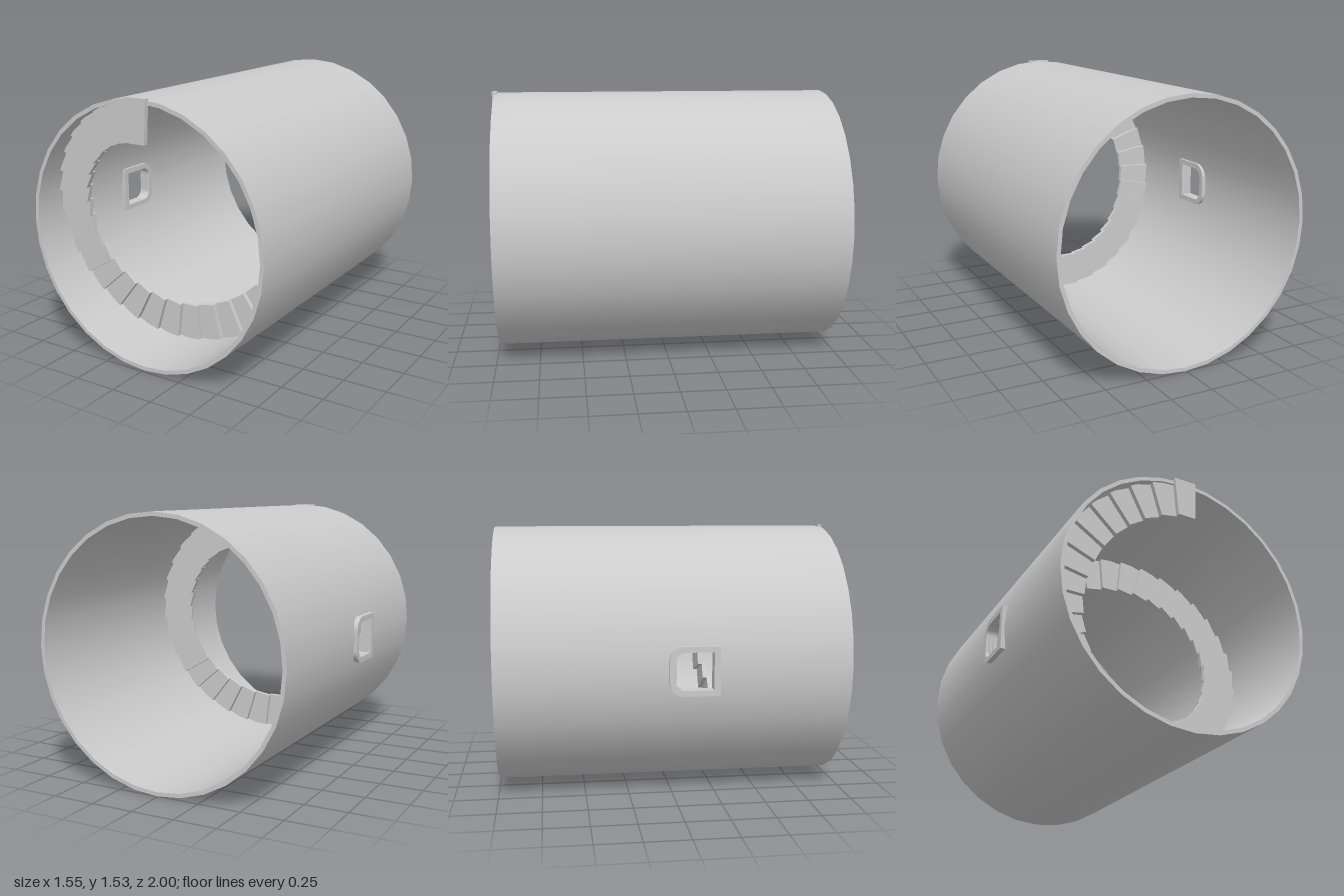
import * as THREE from 'three';

const CX = 0.007, CY = 0.77;          // tube axis
const R_OUT = 0.765, R_IN = 0.742;    // wall radii
const Z_BACK = -1, Z_FRONT = 0.985;
const DEG = Math.PI / 180;

const material = new THREE.MeshStandardMaterial({ color: 0xcccccc, side: THREE.DoubleSide });

function addMesh(parent, name, geometry) {
  const mesh = new THREE.Mesh(geometry, material);
  mesh.name = name;
  parent.add(mesh);
  return mesh;
}

// Curved wall piece, angles in degrees: 0 = bottom, 90 = +x, 270 = -x
function addWall(parent, z0, z1, start, length, segments) {
  for (const [name, r] of [['outerWall', R_OUT], ['innerWall', R_IN]]) {
    const g = new THREE.CylinderGeometry(r, r, z1 - z0, segments, 1, true, start * DEG, length * DEG);
    if (r === R_IN) {
      // turn the inner skin to face the axis
      const idx = g.index.array;
      for (let i = 0; i < idx.length; i += 3) [idx[i], idx[i + 1]] = [idx[i + 1], idx[i]];
      const n = g.attributes.normal;
      for (let i = 0; i < n.count; i++) n.setXYZ(i, -n.getX(i), -n.getY(i), -n.getZ(i));
    }
    g.rotateX(Math.PI / 2);
    g.translate(0, 0, (z0 + z1) / 2);
    addMesh(parent, name, g);
  }
}

// Arch-like outline: square at the sill (low y), rounded corners at the head (high y)
function archPath(path, halfWidth, y0, y1, r) {
  path.moveTo(-halfWidth, y0);
  path.lineTo(halfWidth, y0);
  path.lineTo(halfWidth, y1 - r);
  path.absarc(halfWidth - r, y1 - r, r, 0, Math.PI / 2, false);
  path.lineTo(-halfWidth + r, y1);
  path.absarc(-halfWidth + r, y1 - r, r, Math.PI / 2, Math.PI, false);
  path.closePath();
  return path;
}

// Wedge-shaped step pointing up from the axis
function stepGeometry(outerRadius, thickness) {
  const shape = new THREE.Shape([
    new THREE.Vector2(-0.054, 0.527),
    new THREE.Vector2(0.054, 0.527),
    new THREE.Vector2(0.07, outerRadius),
    new THREE.Vector2(-0.07, outerRadius),
  ]);
  return new THREE.ExtrudeGeometry(shape, { depth: thickness, bevelEnabled: false });
}

export function createModel() {
  const model = new THREE.Group();
  model.name = 'towerWithSpiralStair';

  const tower = new THREE.Group();
  tower.name = 'tower';
  tower.position.set(CX, CY, 0);
  model.add(tower);

  // Wall: full rings either side of the window, open arc between them
  const wall = new THREE.Group();
  wall.name = 'wall';
  tower.add(wall);
  const winBack = -0.01, winFront = 0.2;
  addWall(wall, Z_BACK, winBack, 0, 360, 32);
  addWall(wall, winFront, Z_FRONT, 0, 360, 32);
  addWall(wall, winBack, winFront, 281.25, 337.5, 30);
  addWall(wall, winBack, winFront, 258.75, 1.75, 1);
  addWall(wall, winBack, winFront, 279.5, 1.75, 1);

  // Flat rims closing both ends of the wall
  const frontRim = addMesh(wall, 'frontRim', new THREE.RingGeometry(R_IN, R_OUT, 32));
  frontRim.position.z = Z_FRONT;
  const backRim = addMesh(wall, 'backRim', new THREE.RingGeometry(R_IN, R_OUT, 32));
  backRim.rotation.y = Math.PI;
  backRim.position.z = Z_BACK;

  // Window frame through the -x wall, head towards the back
  const frameShape = archPath(new THREE.Shape(), 0.1375, -0.23, 0.05, 0.08);
  frameShape.holes.push(archPath(new THREE.Path(), 0.105, -0.195, 0.018, 0.055));
  const frameGeo = new THREE.ExtrudeGeometry(frameShape, { depth: 0.07, bevelEnabled: false, curveSegments: 8 });
  // shape x -> y, shape y -> -z, depth -> -x
  frameGeo.applyMatrix4(new THREE.Matrix4().makeBasis(
    new THREE.Vector3(0, 1, 0), new THREE.Vector3(0, 0, -1), new THREE.Vector3(-1, 0, 0)));
  frameGeo.translate(-0.712, 0, 0);
  addMesh(tower, 'windowFrame', frameGeo);

  // Spiral stair: one turn from the top of the front end, by way of -x
  const stair = new THREE.Group();
  stair.name = 'spiralStair';
  tower.add(stair);
  const perTurn = 34, rise = 0.027, steps = 36;
  const topStep = stepGeometry(0.77, rise);
  const innerStep = stepGeometry(0.75, rise);
  for (let i = 0; i < steps; i++) {
    const step = addMesh(stair, 'step', i === 0 ? topStep : innerStep);
    step.rotation.z = (i / perTurn) * Math.PI * 2;
    step.position.z = 1 - rise * (i + 1);
  }

  return model;
}
